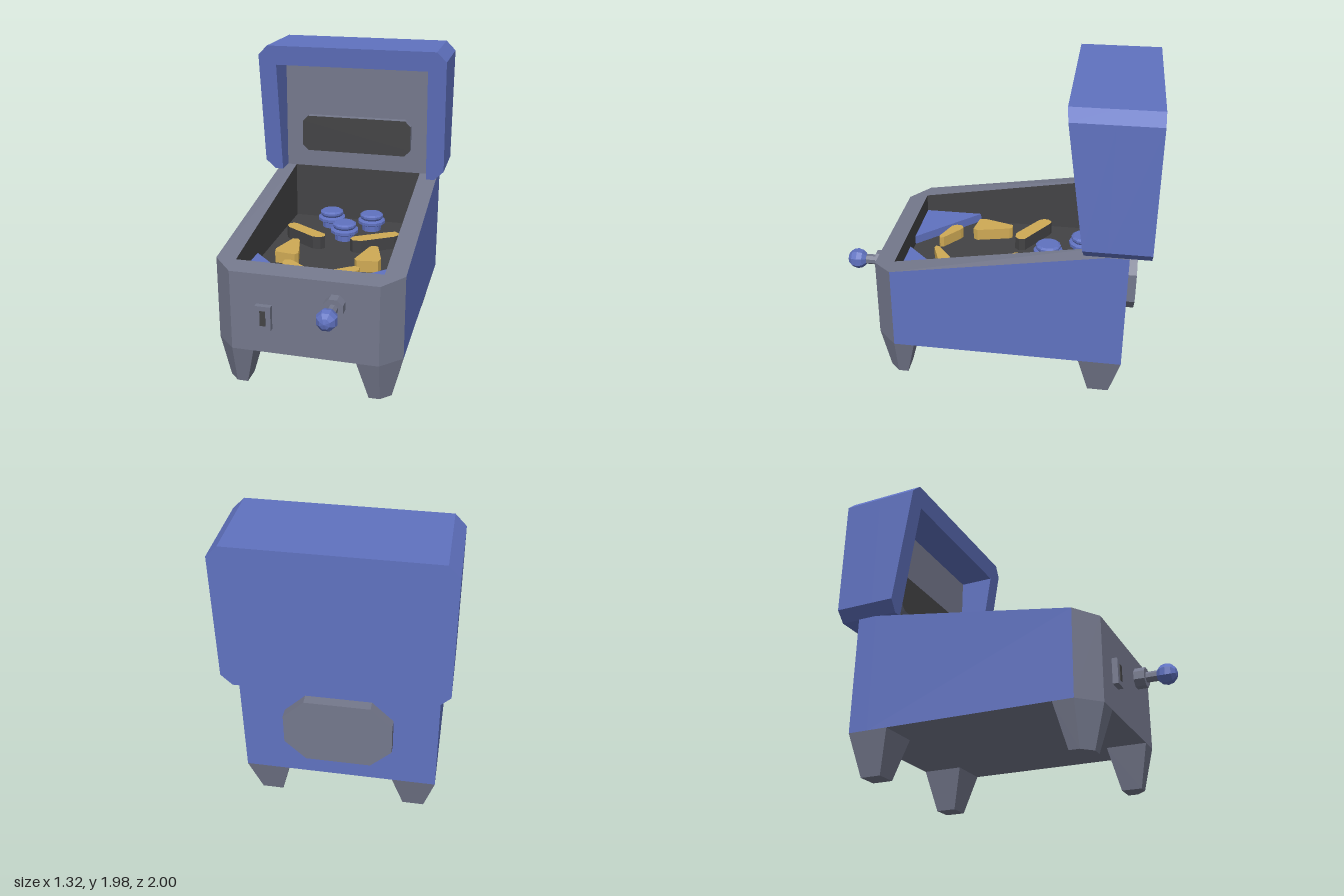
import * as THREE from 'three';

const mat = (name, color) => new THREE.MeshStandardMaterial({ name, color });

export function createModel() {
  const blue = mat('blue paint', 0x6072c0);
  const grey = mat('grey metal', 0x74788c);
  const dark = mat('dark playfield', 0x434345);
  const gold = mat('gold plastic', 0xcfaa55);
  const model = new THREE.Group();
  model.name = 'pinballTable';

  const add = (name, geo, material, x = 0, y = 0, z = 0) => {
    const flat = geo.index ? geo.toNonIndexed() : geo;
    flat.computeVertexNormals();
    const mesh = new THREE.Mesh(flat, material);
    mesh.name = name;
    mesh.position.set(x, y, z);
    model.add(mesh);
    return mesh;
  };
  const shapeOf = pts => new THREE.Shape(pts.map(p => new THREE.Vector2(p[0], p[1])));
  const extrude = (pts, depth) =>
    new THREE.ExtrudeGeometry(shapeOf(pts), { depth, bevelEnabled: false });
  const moveVertices = (geo, rule) => {
    const p = geo.attributes.position, v = new THREE.Vector3();
    for (let i = 0; i < p.count; i++) {
      rule(v.fromBufferAttribute(p, i));
      p.setXYZ(i, v.x, v.y, v.z);
    }
    return geo;
  };
  // rectangle with cut corners
  const cutRect = (w, y0, y1, c) => [
    [-w + c, y0], [w - c, y0], [w, y0 + c], [w, y1 - c],
    [w - c, y1], [-w + c, y1], [-w, y1 - c], [-w, y0 + c]];
  // plan outline in (x, z) raised from y0 by h
  const slab = (pts, y0, h) => {
    const geo = extrude(pts.map(([x, z]) => [x, -z]), h);
    return geo.rotateX(-Math.PI / 2).translate(0, y0, 0);
  };

  // Cabinet: sloped top edge, cut front corners, open tray
  const bottom = 0.27, floorY = 0.64;
  const topY = z => Math.min(1.045, 0.8 + (0.73 - z) * 0.245 / 1.47);
  const walls = (path, y0) => {
    const out = [];
    for (let i = 0; i < path.length - 1; i++) {
      const [ax, az] = path[i], [bx, bz] = path[i + 1];
      const ta = topY(az), tb = topY(bz);
      out.push(ax, y0, az, bx, y0, bz, bx, tb, bz, ax, y0, az, bx, tb, bz, ax, ta, az);
    }
    return new THREE.BufferGeometry()
      .setAttribute('position', new THREE.Float32BufferAttribute(out, 3));
  };
  const frontPath = [[-0.6, 0.6], [-0.47, 0.73], [0.47, 0.73], [0.6, 0.6]];
  const sidePath = [[0.6, 0.6], [0.6, -0.74], [0.6, -0.87],
    [-0.6, -0.87], [-0.6, -0.74], [-0.6, 0.6]];
  const trayPath = [[-0.47, -0.74], [0.47, -0.74], [0.47, 0.6], [-0.47, 0.6], [-0.47, -0.74]];
  const outline = [...frontPath, ...sidePath.slice(1, -1)];
  add('cabinetFront', walls(frontPath, bottom), grey);
  add('cabinetSides', walls(sidePath, bottom), blue);
  add('trayWalls', walls(trayPath, floorY), dark);
  add('cabinetBase', new THREE.ShapeGeometry(shapeOf(outline)).rotateX(Math.PI / 2), grey, 0, bottom);
  add('playfield', new THREE.PlaneGeometry(0.94, 1.34).rotateX(-Math.PI / 2), dark, 0, floorY, -0.07);

  const rimShape = shapeOf(outline.map(([x, z]) => [x, -z]));
  rimShape.holes.push(new THREE.Path(
    trayPath.slice(0, 4).map(([x, z]) => new THREE.Vector2(x, -z))));
  const rim = new THREE.ShapeGeometry(rimShape).rotateX(-Math.PI / 2);
  add('cabinetRim', moveVertices(rim, v => { v.y = topY(v.z); }), grey);

  // Tapered legs, the front pair with cut outer corners
  for (const s of [-1, 1]) {
    for (const front of [true, false]) {
      const cx = 0.465, cz = front ? 0.6 : -0.735;
      const pts = front
        ? [[-0.135, -0.13], [0.135, -0.13], [0.135, 0], [0.005, 0.13], [-0.135, 0.13]]
        : [[-0.135, -0.135], [0.135, -0.135], [0.135, 0.135], [-0.135, 0.135]];
      const geo = slab(pts.map(([x, z]) => [s * x, z]), 0, bottom);
      moveVertices(geo, v => { if (v.y < 0.1) { v.x *= 0.5; v.z *= 0.5; } });
      add(front ? 'frontLeg' : 'rearLeg', geo, grey, s * cx, 0, cz);
    }
  }

  // Back box: solid rear, slanted hood open at the bottom, recessed panel
  const y0 = 1.045, y1 = 1.975;
  add('backBox', extrude(cutRect(0.66, y0, y1, 0.067), 0.26), blue, 0, 0, -1);
  const hood = extrude([
    [-0.593, y0], [-0.535, y0], [-0.535, 1.84], [0.535, 1.84], [0.535, y0], [0.593, y0],
    [0.66, y0 + 0.067], [0.66, y1 - 0.067], [0.593, y1],
    [-0.593, y1], [-0.66, y1 - 0.067], [-0.66, y0 + 0.067]], 0.1);
  moveVertices(hood, v => {
    v.z = v.z > 0.05 ? -0.6 + 0.13 * (v.y - y0) / (y1 - y0) : -0.74;
  });
  add('backBoxHood', hood, blue);
  add('backPanel', new THREE.BoxGeometry(1.07, 0.795, 0.006), grey, 0, 1.4425, -0.737);
  add('display', extrude(cutRect(0.4, 1.18, 1.44, 0.04), 0.06), [dark, grey], 0, 0, -0.74);

  // Rear hatch
  add('rearHatch', extrude(cutRect(0.33, 0.44, 0.9, 0.13), 0.065), grey, 0, 0, -0.932);

  // Bumpers
  const bumper = [[0.07, 0], [0.07, 0.04], [0.1, 0.055], [0.1, 0.075],
    [0.075, 0.085], [0.085, 0.1], [0.085, 0.115], [0.07, 0.125], [0, 0.125]]
    .map(p => new THREE.Vector2(...p));
  for (const [x, z] of [[0, -0.34], [-0.15, -0.57], [0.15, -0.57]]) {
    add('bumper', new THREE.LatheGeometry(bumper, 12), blue, x, floorY, z);
  }

  // Mirrored playfield pieces
  const lane = [[0.37, -0.33], [0.4, -0.305], [0.405, -0.27], [0.38, -0.235], [0.17, -0.1],
    [0.115, -0.1], [0.09, -0.13], [0.1, -0.17], [0.34, -0.32]];
  const sling = [[0.26, -0.06], [0.3, -0.06], [0.36, 0.14], [0.35, 0.19],
    [0.21, 0.21], [0.19, 0.18], [0.245, -0.04]];
  const flipper = [[0.22, 0.285], [0.25, 0.3], [0.255, 0.34], [0.235, 0.37],
    [0.08, 0.43], [0.055, 0.42], [0.065, 0.395], [0.19, 0.3]];
  const corner = [[0.47, 0.2], [0.47, 0.6], [0.07, 0.6]];
  for (const s of [-1, 1]) {
    const side = pts => pts.map(([x, z]) => [s * x, z]);
    add('laneGuide', slab(side(lane), floorY, 0.09), [gold, dark]);
    add('slingshot', slab(side(sling), floorY, 0.08), gold);
    add('flipper', slab(side(flipper), floorY, 0.075), gold);
    add('cornerWedge', slab(side(corner), floorY, 0.06), blue);
  }

  // Coin door
  add('coinDoor', new THREE.BoxGeometry(0.1, 0.16, 0.035), grey, -0.25, 0.52, 0.7475);
  add('coinSlot', new THREE.BoxGeometry(0.036, 0.1, 0.006), dark, -0.25, 0.52, 0.766);

  // Plunger
  const rod = (r, len) => new THREE.CylinderGeometry(r, r, len, 8)
    .rotateY(Math.PI / 8).rotateX(Math.PI / 2);
  add('plungerCollar', rod(0.067, 0.07), grey, 0.2, 0.655, 0.765);
  add('plungerRod', rod(0.034, 0.1), grey, 0.2, 0.655, 0.84);
  add('plungerKnob', new THREE.SphereGeometry(0.069, 8, 6)
    .rotateY(Math.PI / 8).rotateX(Math.PI / 2), blue, 0.2, 0.655, 0.932);

  return model;
}
